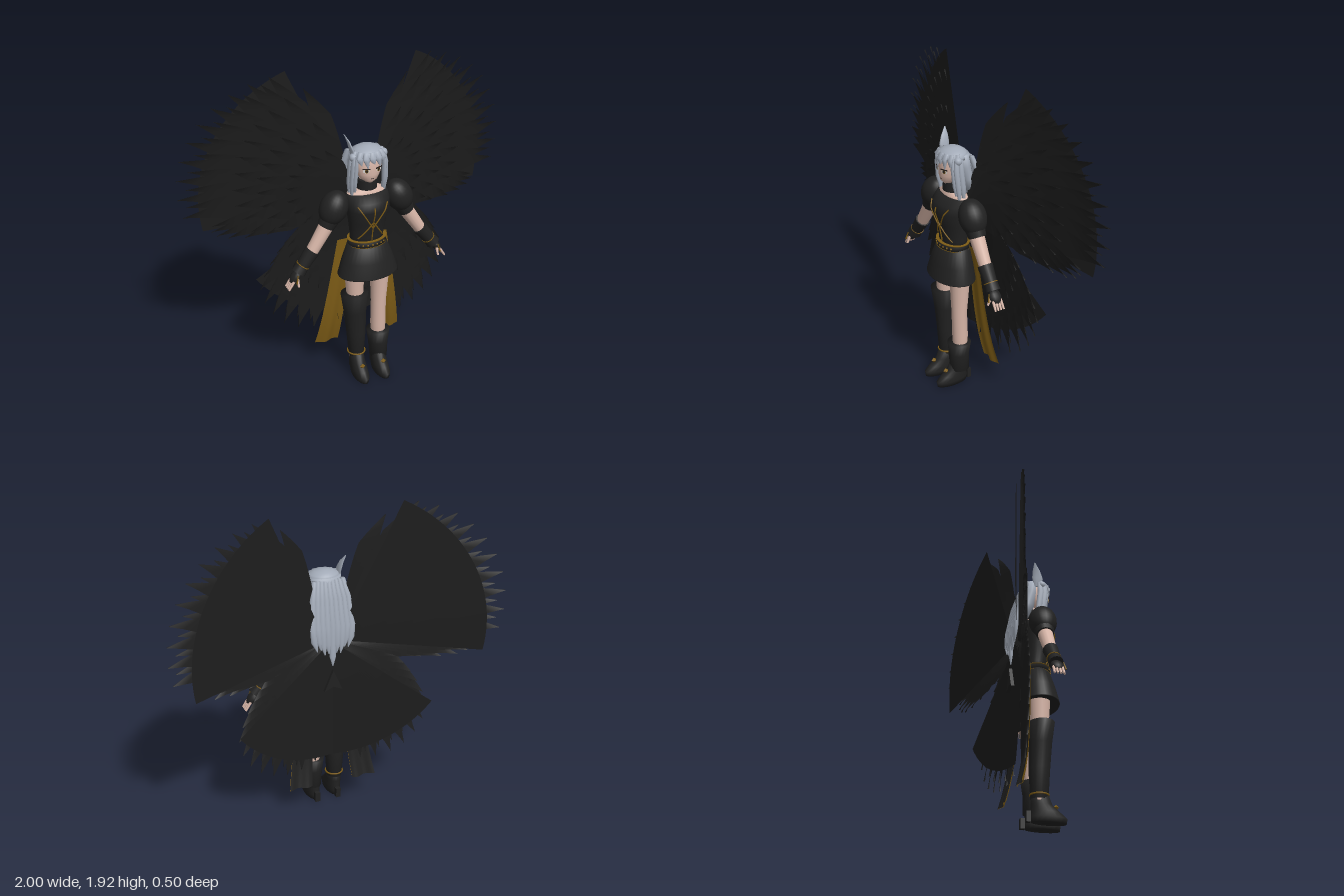
import * as THREE from 'three';
import { mergeGeometries } from 'three/addons/utils/BufferGeometryUtils.js';

const mat = (name, color, side = THREE.FrontSide) =>
  Object.assign(new THREE.MeshStandardMaterial({ color, side }), { name });

export function createModel() {
  const root = new THREE.Group();
  root.name = 'wingedFigure';
  const black = mat('black cloth', 0x212121);
  const feathers = mat('black feather', 0x1d1d1d, THREE.DoubleSide);
  const gold = mat('old gold', 0x7d5c16, THREE.DoubleSide);
  const skin = mat('skin', 0xd8b6a8);
  const silver = mat('silver hair', 0xa3abb8, THREE.DoubleSide);
  const dark = mat('eye dark', 0x2a2220, THREE.DoubleSide);
  const white = mat('eye white', 0xd8d4d0, THREE.DoubleSide);

  const add = (name, geo, material) => {
    const m = new THREE.Mesh(geo, material);
    m.name = name;
    root.add(m);
    return m;
  };
  // skin over horizontal ellipses [x, y, z, rx, rz], listed from bottom to top
  const loft = (rings, n = 20) => {
    const pos = [], idx = [];
    const all = [[...rings[0].slice(0, 3), 0, 0], ...rings, [...rings.at(-1).slice(0, 3), 0, 0]];
    all.forEach(([x, y, z, rx, rz], i) => {
      for (let j = 0; j < n; j++) {
        const a = (j / n) * Math.PI * 2;
        pos.push(x + rx * Math.sin(a), y, z + rz * Math.cos(a));
        if (i === all.length - 1) continue;
        const p = i * n + j, q = i * n + (j + 1) % n;
        idx.push(p, q, q + n, p, q + n, p + n);
      }
    });
    const g = new THREE.BufferGeometry();
    g.setAttribute('position', new THREE.Float32BufferAttribute(pos, 3));
    g.setIndex(idx);
    g.computeVertexNormals();
    return g;
  };
  // tapered round bar from a to b
  const limb = (a, b, ra, rb, n = 14) => {
    const A = new THREE.Vector3(...a), B = new THREE.Vector3(...b), d = B.clone().sub(A);
    const g = new THREE.CylinderGeometry(rb, ra, d.length(), n);
    g.applyQuaternion(new THREE.Quaternion().setFromUnitVectors(new THREE.Vector3(0, 1, 0), d.normalize()));
    return g.translate(...A.add(B).multiplyScalar(0.5).toArray());
  };
  const lerp = THREE.MathUtils.lerp, rad = THREE.MathUtils.degToRad;

  // ---- wings: a fan plate at the back, rows of pointed feathers in front ----
  const feather = (s, ox, oy, ang, len, w, zRule) => {
    const pos = [], idx = [], N = 12;
    for (let i = 0; i <= N; i++) {
      const t = i / N, a = ang + 0.22 * (1 - t) * t, r = t * len;
      const h = w * Math.min(1, 0.12 + t * 1.2, (1 - t) / 0.25);
      for (const k of [-1, 1]) {
        const x = ox + r * Math.cos(a) - k * h * Math.sin(a);
        pos.push(s * x, oy + r * Math.sin(a) + k * h * Math.cos(a), zRule(Math.abs(x)) + k * 0.005);
      }
      if (i < N) idx.push(2 * i, 2 * i + 2, 2 * i + 1, 2 * i + 1, 2 * i + 2, 2 * i + 3);
    }
    const g = new THREE.BufferGeometry();
    g.setAttribute('position', new THREE.Float32BufferAttribute(pos, 3));
    g.setIndex(idx);
    g.computeVertexNormals();
    return g;
  };
  // radius runs from R0 at angle a0 to R1 at angle a1
  const fan = (s, ox, oy, a0, a1, R0, R1, zRule) => {
    const g = new THREE.RingGeometry(0.02, 1, 28, 6, rad(a0), rad(a1 - a0));
    const p = g.attributes.position;
    for (let i = 0; i < p.count; i++) {
      const t = (i % 29) / 28, R = lerp(R0, R1, t);
      const x = ox + R * p.getX(i);
      p.setXYZ(i, s * x, oy + R * p.getY(i), zRule(Math.abs(x)));
    }
    g.computeVertexNormals();
    return g;
  };
  // row: [count, first angle, last angle, length at first, middle, last, half width, z lift]
  const featherRows = (s, ox, oy, slope, z0, rows) => mergeGeometries(rows.flatMap(
    ([n, a0, a1, l0, lm, l1, w, lift]) => Array.from({ length: n }, (_, i) => {
      const t = i / (n - 1);
      const len = l0 * (1 - t) * (1 - 2 * t) + 4 * lm * t * (1 - t) + l1 * t * (2 * t - 1);
      // raised rows settle back toward the plate as they spread outward
      return feather(s, ox, oy, rad(lerp(a0, a1, t)), len, w, (x) => z0 + lift - (slope + lift) * x);
    })));
  for (const s of [-1, 1]) {
    const side = s > 0 ? 'left' : 'right';
    add(side + 'UpperWingPlate', fan(s, 0.03, 1.1, -8, 66.3, 0.845, 0.895, (x) => -0.022 - 0.26 * x), feathers);
    add(side + 'UpperWingFeathers', featherRows(s, 0.03, 1.1, 0.218, -0.012, [
      [10, 60.5, 0, 0.92, 1.015, 0.95, 0.06, 0],
      [9, 57, 4, 0.91, 0.95, 0.93, 0.052, 0.008],
      [6, -5, -17, 0.8, 0.76, 0.52, 0.045, 0.01],
      [11, 69, -12, 0.78, 0.74, 0.6, 0.052, 0.024],
      [10, 66, -14, 0.58, 0.6, 0.45, 0.046, 0.038],
      [8, 64, -14, 0.4, 0.43, 0.3, 0.042, 0.05],
    ]), feathers);
    add(side + 'LowerWingPlate', fan(s, 0, 1.1, -92, -37, 0.75, 0.75, (x) => -0.03 - 0.2 * x), feathers);
    add(side + 'LowerWingFeathers', featherRows(s, 0, 1.1, 0.172, 0, [
      [8, -40, -83, 0.77, 0.88, 0.79, 0.054, 0],
      [7, -44, -80, 0.75, 0.82, 0.78, 0.05, 0.005],
      [6, -17, -36, 0.36, 0.52, 0.7, 0.045, 0.006],
      [9, -28, -86, 0.48, 0.58, 0.58, 0.045, 0.012],
    ]), feathers);

    // long folded tail panel, gold in front and black behind
    for (const [name, m, dz] of [['Lining', gold, 0], ['Cover', black, -0.005]]) {
      const g = new THREE.PlaneGeometry(1, 1, 14, 10), p = g.attributes.position;
      for (let i = 0; i < p.count; i++) {
        const u = p.getX(i) + 0.5, v = 0.5 - p.getY(i);
        p.setXYZ(i, s * lerp(lerp(0.06, 0.13, v), lerp(0.155, 0.275, v), u), 0.9 - 0.73 * v,
          0.02 - 0.026 * v - 0.045 * v ** 4 + dz - 0.01 * v * Math.sin(u * 8));
      }
      if ((s < 0) !== (dz < 0)) g.index.array.reverse();
      g.computeVertexNormals();
      add(side + 'TailPanel' + name, g, m);
    }

    // sleeve, arm, glove, hand
    const sleeve = new THREE.SphereGeometry(1, 22, 16).scale(0.08, 0.105, 0.08).rotateZ(s * 0.45);
    add(side + 'PuffSleeve', sleeve.translate(s * 0.2, 1.15, 0.08), black);
    add(side + 'SleeveBand', limb([s * 0.225, 1.09, 0.08], [s * 0.25, 1.045, 0.08], 0.058, 0.05), black);
    add(side + 'Arm', limb([s * 0.2, 1.12, 0.08], [s * 0.36, 0.87, 0.085], 0.047, 0.034), skin);
    add(side + 'Glove', limb([s * 0.335, 0.91, 0.085], [s * 0.425, 0.79, 0.09], 0.044, 0.034), black);
    add(side + 'GloveCuff', limb([s * 0.395, 0.83, 0.087], [s * 0.425, 0.79, 0.09], 0.037, 0.042), black);
    add(side + 'GloveTrim', limb([s * 0.394, 0.831, 0.087], [s * 0.397, 0.827, 0.087], 0.041, 0.041), gold);
    add(side + 'GloveCharm', limb([s * 0.44, 0.79, 0.128], [s * 0.452, 0.745, 0.138], 0.003, 0.005, 6), gold);
    add(side + 'Palm', new THREE.SphereGeometry(1, 14, 10).scale(0.024, 0.045, 0.036)
      .rotateZ(s * 0.65).translate(s * 0.445, 0.765, 0.09), black);
    const fingers = [-1.5, -0.5, 0.5, 1.5].map((k) =>
      limb([s * 0.46, 0.75, 0.09 + k * 0.016], [s * 0.493, 0.7, 0.09 + k * 0.018], 0.009, 0.006, 8));
    fingers.push(limb([s * 0.44, 0.765, 0.115], [s * 0.44, 0.72, 0.135], 0.01, 0.006, 8));
    add(side + 'Fingers', mergeGeometries(fingers), skin);

    // leg, foot, heel
    const x = s * 0.075;
    add(side + 'Leg', loft([[x, 0.12, 0.085, 0.035, 0.035], [x, 0.32, 0.085, 0.046, 0.047],
      [x, 0.48, 0.09, 0.045, 0.046], [s * 0.08, 0.7, 0.09, 0.058, 0.06], [s * 0.075, 0.8, 0.09, 0.065, 0.07]]), skin);
    const fx = s * 0.068;
    add(side + 'Shoe', loft([[fx, 0, 0.14, 0.04, 0.1], [fx, 0.03, 0.14, 0.045, 0.105], [fx, 0.06, 0.125, 0.045, 0.085],
      [fx, 0.1, 0.1, 0.043, 0.062], [fx, 0.16, 0.088, 0.042, 0.05]]), black);
    add(side + 'Heel', new THREE.BoxGeometry(0.03, 0.06, 0.025).translate(fx, 0.03, 0.025), black);
    add(side + 'ShoeStud', new THREE.OctahedronGeometry(0.017).translate(fx, 0.094, 0.182), gold);
  }
  // odd boots: short on the left, tall on the right
  add('leftBoot', loft([[0.075, 0.09, 0.09, 0.052, 0.06], [0.072, 0.2, 0.092, 0.06, 0.062],
    [0.073, 0.275, 0.09, 0.071, 0.07]]), black);
  add('rightBoot', loft([[-0.068, 0.13, 0.088, 0.045, 0.05], [-0.07, 0.3, 0.088, 0.058, 0.06],
    [-0.078, 0.45, 0.092, 0.068, 0.066], [-0.084, 0.575, 0.1, 0.083, 0.073]]), black);
  add('rightAnklet', new THREE.TorusGeometry(0.052, 0.005, 6, 24).rotateX(Math.PI / 2).translate(-0.068, 0.155, 0.088), gold);

  // ---- torso: [y, half width, front z, back z] ----
  const body = (rows, n = 32) => loft(rows.map(([y, rx, f, b]) => [0, y, (f + b) / 2, rx, (f - b) / 2]), n);
  const bodice = [[0.88, 0.102, 0.155, 0.01], [0.95, 0.1, 0.155, 0.01], [1.05, 0.113, 0.175, 0.005],
    [1.13, 0.128, 0.2, 0], [1.18, 0.13, 0.188, 0], [1.22, 0.122, 0.15, 0.015]];
  add('bodice', body(bodice), black);
  add('chest', body([[1.19, 0.13, 0.14, 0.015], [1.225, 0.115, 0.135, 0.02], [1.245, 0.06, 0.12, 0.03],
    [1.26, 0.042, 0.118, 0.034], [1.33, 0.04, 0.115, 0.035]]), skin);
  add('choker', new THREE.CylinderGeometry(0.058, 0.06, 0.055, 24).translate(0, 1.273, 0.08), black);
  add('skirt', body([[0.705, 0.18, 0.22, -0.025], [0.71, 0.182, 0.222, -0.027], [0.8, 0.155, 0.2, -0.015],
    [0.91, 0.112, 0.165, 0]]), black);
  add('belt', body([[0.893, 0.116, 0.172, -0.004], [0.93, 0.112, 0.17, -0.003]]), black);
  for (const y of [0.895, 0.93])
    add('beltTrim', body([[y - 0.002, 0.117, 0.173, -0.005], [y + 0.002, 0.117, 0.173, -0.005]]), gold);
  for (let i = -3; i <= 3; i++)
    add('beltStud', new THREE.SphereGeometry(0.006, 8, 6)
      .translate(0.115 * Math.sin(i * 0.25), 0.911, 0.083 + 0.088 * Math.cos(i * 0.25)), gold);

  // gold lacing laid on the bodice
  const onBodice = (x, y) => {
    const i = Math.max(0, bodice.findIndex((r, k) => k < 5 && y <= bodice[k + 1][0]));
    const t = (y - bodice[i][0]) / (bodice[i + 1][0] - bodice[i][0]);
    const [, rx, f, b] = bodice[i].map((v, k) => lerp(v, bodice[i + 1][k], t));
    return new THREE.Vector3(x, y, (f + b) / 2 + (f - b) / 2 * Math.sqrt(Math.max(0, 1 - (x / rx) ** 2)) + 0.003);
  };
  const lace = (x0, y0, x1, y1) => {
    const pts = Array.from({ length: 9 }, (_, i) => onBodice(lerp(x0, x1, i / 8), lerp(y0, y1, i / 8)));
    add('bodiceLace', new THREE.TubeGeometry(new THREE.CatmullRomCurve3(pts), 16, 0.004, 6), gold);
  };
  lace(0, 1.16, 0, 0.94);
  for (const s of [-1, 1]) {
    lace(s * 0.09, 1.17, 0, 1.02);
    lace(s * 0.075, 0.95, 0, 1.06);
  }
  // bow at the back of the waist
  const bow = new THREE.Shape([[0, 0.93], [0.055, 0.8], [0, 0.825], [-0.055, 0.8]].map((p) => new THREE.Vector2(...p)));
  add('backBow', new THREE.ExtrudeGeometry(bow, { depth: 0.02, bevelEnabled: false }).translate(0, 0, -0.07), black);

  // ---- head and face ----
  add('head', loft([[0, 1.293, 0.115, 0.02, 0.022], [0, 1.315, 0.108, 0.048, 0.05], [0, 1.35, 0.094, 0.072, 0.07],
    [0, 1.4, 0.086, 0.083, 0.077], [0, 1.46, 0.08, 0.08, 0.075], [0, 1.49, 0.08, 0.045, 0.045]], 28), skin);
  for (const s of [-1, 1]) {
    const onFace = (name, geo, m, x, y, z) => {
      const o = add(name, geo, m);
      o.position.set(s * x, y, z);
      o.rotation.y = s * 0.4;
    };
    onFace('eyeWhite', new THREE.CircleGeometry(1, 16).scale(0.02, 0.012, 1), white, 0.037, 1.38, 0.161);
    onFace('iris', new THREE.CircleGeometry(0.011, 14), gold, 0.036, 1.38, 0.163);
    onFace('pupil', new THREE.CircleGeometry(0.008, 10), dark, 0.036, 1.381, 0.1645);
    onFace('lash', new THREE.BoxGeometry(0.044, 0.006, 0.003), dark, 0.038, 1.393, 0.163);
  }
  add('mouth', new THREE.BoxGeometry(0.018, 0.003, 0.004).translate(0, 1.327, 0.158), dark);

  // ---- hair ----
  add('hairCap', loft([[0, 1.448, 0.084, 0.094, 0.08], [0, 1.463, 0.085, 0.095, 0.083], [0, 1.48, 0.083, 0.083, 0.073],
    [0, 1.493, 0.08, 0.055, 0.05], [0, 1.5, 0.08, 0.02, 0.02]], 28), silver);
  add('hairBackVolume', loft([[0, 1.24, 0.0, 0.085, 0.035], [0, 1.32, 0.025, 0.092, 0.05],
    [0, 1.4, 0.045, 0.097, 0.052], [0, 1.47, 0.05, 0.09, 0.05]], 24), silver);
  // fringe locks fanning from a parting
  [0.085, 0.06, 0.075, 0.05, 0.07, 0.055, 0.09].forEach((drop, k) => {
    const a = (k - 3) * 0.4, x = 0.092 * Math.sin(a), z = 0.088 + 0.078 * Math.cos(a);
    add('fringeLock', loft([[x * 1.02 + 0.01, 1.468 - drop, z + 0.004, 0.002, 0.002],
      [x + 0.003, 1.435, z, 0.017, 0.01], [x, 1.455, z, 0.022, 0.011],
      [x * 0.85, 1.482, z - 0.018, 0.016, 0.012]], 8), silver);
  });
  for (let i = -4; i <= 4; i++) {
    // long locks down the back, the middle one longest
    const bx = i * 0.025, end = i ? 1.0 + Math.abs(i) * 0.015 + (i % 2 ? 0.02 : 0) : 0.955;
    add('backLock', loft([[bx * 0.95, end, -0.058, 0.003, 0.003], [bx * 1.12, end + 0.06, -0.058, 0.02, 0.012],
      [bx * 1.18, 1.2, -0.052, 0.022, 0.014], [bx * 1.05, 1.36, -0.015, 0.02, 0.02],
      [bx * 0.85, 1.46, 0.015, 0.017, 0.016]], 10), silver);
  }
  for (const s of [-1, 1]) {
    add('hairKnot', new THREE.SphereGeometry(0.024, 12, 10).translate(s * 0.09, 1.45, 0.105), silver);
    for (const [x, z, low] of [[0.098, 0.12, 1.215], [0.085, 0.13, 1.24], [0.104, 0.095, 1.225]])
      add('sideLock', loft([[s * x, low, z - 0.02, 0.008, 0.01], [s * (x + 0.004), 1.3, z - 0.01, 0.014, 0.018],
        [s * x, 1.4, z, 0.014, 0.018], [s * (x - 0.008), 1.46, z - 0.005, 0.009, 0.012]], 10), silver);
  }
  // single upright leaf on the right of the head
  add('headLeaf', loft([[-0.085, 1.44, 0.08, 0.008, 0.02], [-0.092, 1.49, 0.08, 0.009, 0.033],
    [-0.105, 1.535, 0.07, 0.007, 0.022], [-0.125, 1.575, 0.055, 0.002, 0.003]], 10), silver);
  return root;
}
